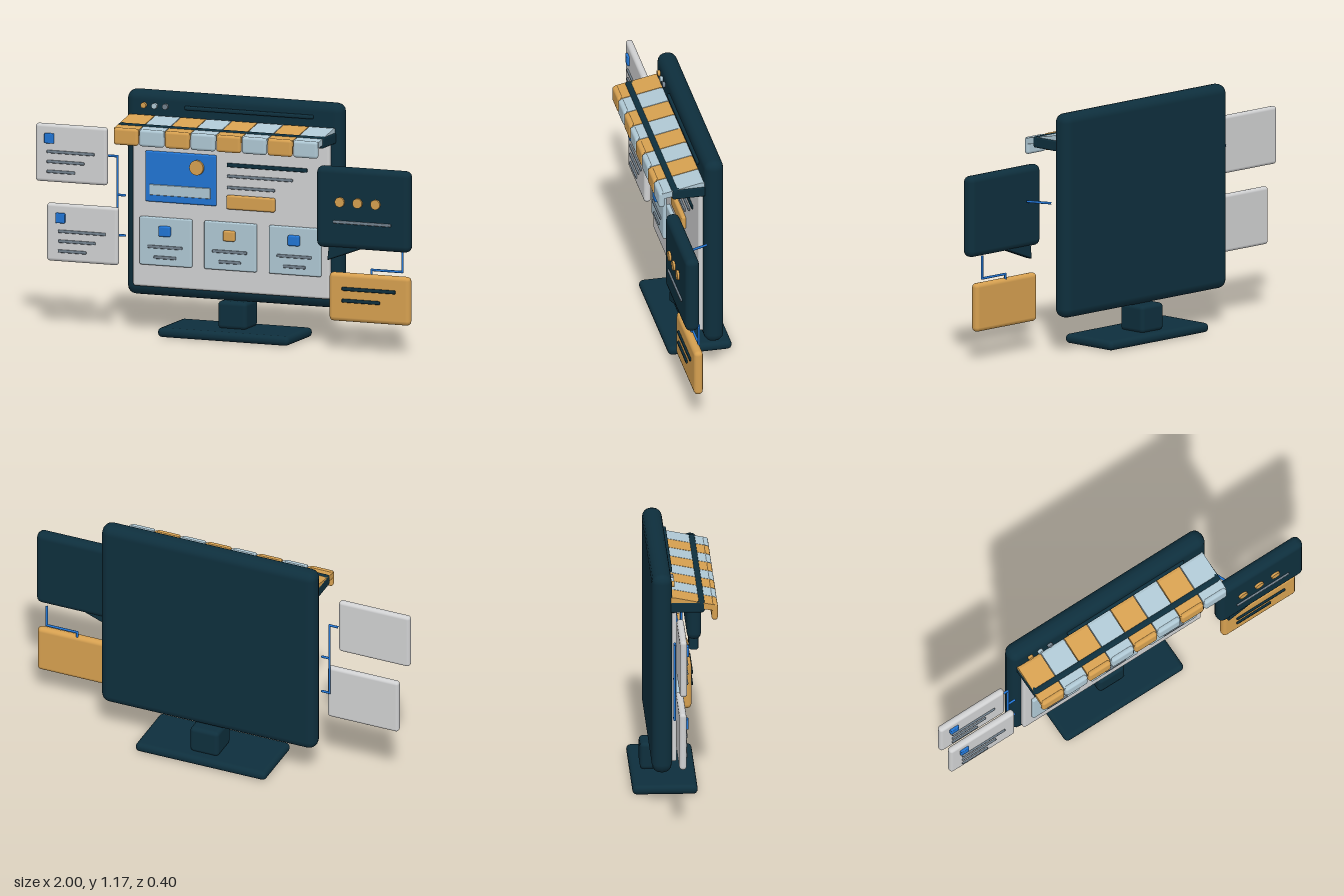
import * as THREE from 'three';
import { RoundedBoxGeometry } from 'three/addons/geometries/RoundedBoxGeometry.js';

const mat = (name, color) => {
  const m = new THREE.MeshStandardMaterial({ color });
  m.name = name;
  return m;
};

export function createModel() {
  const root = new THREE.Group();
  root.name = 'onlineStoreMonitor';
  const navy = mat('navy', 0x0e2f3d);
  const orange = mat('orange', 0xd6a050);
  const blue = mat('blue', 0x2175d4);
  const paleBlue = mat('pale blue', 0xafc8d4);
  const white = mat('off white', 0xd0d1d2);
  const slate = mat('slate', 0x72818d);

  const add = (parent, name, geo, material) => {
    const m = new THREE.Mesh(geo, material);
    m.name = name;
    parent.add(m);
    return m;
  };
  const group = (name) => {
    const g = new THREE.Group();
    g.name = name;
    root.add(g);
    return g;
  };
  // rounded block given by its extents
  const block = (parent, name, material, [x0, x1], [y0, y1], [z0, z1], r = 0.01) => {
    const w = x1 - x0, h = y1 - y0, d = z1 - z0;
    const geo = new RoundedBoxGeometry(w, h, d, 2, Math.min(r, w / 2.05, h / 2.05, d / 2.05));
    const m = add(parent, name, geo, material);
    m.position.set((x0 + x1) / 2, (y0 + y1) / 2, (z0 + z1) / 2);
    return m;
  };
  // bar of text
  const line = (parent, material, x0, x1, y, z, h = 0.015) =>
    block(parent, 'textLine', material, [x0, x1], [y - h / 2, y + h / 2], [z, z + 0.01], 0.005);
  // flat round button facing forward
  const disc = (parent, name, material, r, x, y, z, depth) => {
    const geo = new THREE.CylinderGeometry(r, r, depth, 20).rotateX(Math.PI / 2);
    add(parent, name, geo, material).position.set(x, y, z + depth / 2);
  };
  // angular wire through a list of points
  const wire = (parent, name, pts) => {
    const path = new THREE.CurvePath();
    const v = pts.map((p) => new THREE.Vector3(...p));
    for (let i = 1; i < v.length; i++) {
      path.add(new THREE.LineCurve3(v[i - 1], v[i]));
      add(parent, name, new THREE.TubeGeometry(path.curves[i - 1], 1, 0.006, 8), blue);
      add(parent, name + 'Joint', new THREE.SphereGeometry(0.006, 8, 6), blue).position.copy(v[i]);
    }
  };

  // monitor and stand
  const monitor = group('monitor');
  block(monitor, 'casing', navy, [-0.553, 0.567], [0.173, 1.167], [-0.116, -0.02], 0.044);
  block(monitor, 'screen', white, [-0.505, 0.515], [0.222, 1.04], [-0.03, 0.004], 0.012);
  block(monitor, 'neck', navy, [-0.068, 0.082], [0.042, 0.176], [-0.152, 0], 0.02);
  block(monitor, 'base', navy, [-0.334, 0.347], [0, 0.046], [-0.2, 0.113], 0.022);

  // browser bar
  [orange, paleBlue, slate].forEach((m, i) =>
    disc(monitor, 'windowButton', m, 0.014, -0.454 + i * 0.056, 1.098, -0.022, 0.016));
  block(monitor, 'addressBar', navy, [-0.243, 0.425], [1.088, 1.108], [-0.025, -0.006], 0.008);

  // banner on the page
  const page = group('pageContent');
  block(page, 'banner', blue, [-0.435, -0.067], [0.638, 0.884], [0, 0.018], 0.008);
  block(page, 'bannerStrip', paleBlue, [-0.41, -0.093], [0.672, 0.724], [0.015, 0.025], 0.004);
  disc(page, 'bannerSun', orange, 0.036, -0.163, 0.82, 0.014, 0.018);
  line(page, navy, -0.013, 0.403, 0.841, 0.003, 0.02);
  line(page, slate, -0.013, 0.328, 0.787, 0.003);
  line(page, slate, -0.013, 0.235, 0.732, 0.003);
  block(page, 'button', orange, [-0.013, 0.238], [0.628, 0.697], [0, 0.025], 0.01);

  // three product tiles
  [blue, orange, blue].forEach((m, i) => {
    const x = -0.328 + i * 0.335;
    block(page, 'tile', paleBlue, [x - 0.135, x + 0.135], [0.331, 0.565], [0, 0.022], 0.008);
    block(page, 'tileIcon', m, [x - 0.03, x + 0.03], [0.475, 0.526], [0.016, 0.04], 0.008);
    line(page, slate, x - 0.09, x + 0.09, 0.422, 0.019);
    line(page, slate, x - 0.058, x + 0.058, 0.372, 0.019);
  });

  // striped awning with hanging flaps
  const awning = group('awning');
  const x0 = -0.527, pitch = 0.133;
  const profile = new THREE.Shape();
  profile.moveTo(-0.025, 1.05);
  profile.lineTo(-0.008, 1.052);
  profile.lineTo(0.1, 1.03);
  profile.lineTo(0.185, 1.014);
  profile.lineTo(0.185, 0.985);
  profile.lineTo(0.1, 0.998);
  profile.lineTo(-0.025, 1.02);
  for (let i = 0; i < 8; i++) {
    const m = i % 2 ? paleBlue : orange;
    const a = x0 + i * pitch;
    const geo = new THREE.ExtrudeGeometry(profile, { depth: pitch - 0.004, bevelEnabled: false });
    geo.rotateY(-Math.PI / 2);
    geo.translate(a + pitch - 0.002, 0, 0);
    add(awning, 'awningStripe', geo, m);
    block(awning, 'awningFlap', m, [a + 0.003, a + pitch - 0.003], [0.935, 1.018], [0.17, 0.2], 0.014);
  }
  block(awning, 'awningBar', navy, [x0 - 0.002, x0 + 8 * pitch + 0.004], [0.975, 1.031], [0.1, 0.14], 0.018);
  for (const x of [x0, x0 + 8 * pitch - 0.022])
    block(awning, 'awningArm', navy, [x, x + 0.024], [0.975, 1.03], [-0.03, 0.135], 0.01);

  // two note cards on the right-hand side of the customer
  for (const [dx, dy] of [[0, 0], [0.058, -0.383]]) {
    const card = group('noteCard');
    block(card, 'cardBody', white, [-1, -0.63], [0.701, 0.982], [-0.004, 0.031], 0.016);
    block(card, 'cardIcon', blue, [-0.948, -0.9], [0.889, 0.938], [0.025, 0.043], 0.005);
    [-0.69, -0.742, -0.79].forEach((x, i) => line(card, slate, -0.937, x, 0.849 - i * 0.048, 0.029));
    card.position.set(dx, dy, 0);
  }

  // speech bubble
  const bubble = group('speechBubble');
  block(bubble, 'bubbleBody', navy, [0.512, 0.996], [0.502, 0.896], [0.1, 0.168], 0.03);
  const tail = new THREE.Shape();
  tail.moveTo(0.585, 0.53);
  tail.lineTo(0.575, 0.45);
  tail.lineTo(0.73, 0.51);
  tail.lineTo(0.73, 0.53);
  add(bubble, 'bubbleTail', new THREE.ExtrudeGeometry(tail, {
    depth: 0.03, bevelSize: 0.009, bevelThickness: 0.009, bevelSegments: 2,
  }), navy).position.z = 0.119;
  for (const x of [0.641, 0.733, 0.826]) disc(bubble, 'bubbleDot', orange, 0.024, x, 0.73, 0.16, 0.019);
  line(bubble, slate, 0.606, 0.905, 0.633, 0.166);

  // reply card
  const reply = group('replyCard');
  block(reply, 'replyBody', orange, [0.561, 0.98], [0.142, 0.378], [0.079, 0.124], 0.021);
  line(reply, navy, 0.633, 0.911, 0.303, 0.124, 0.018);
  line(reply, navy, 0.633, 0.83, 0.246, 0.124, 0.018);

  // connecting wires
  const wires = group('wires');
  const z = -0.01;
  wire(wires, 'cardWire', [[-0.635, 0.842, z], [-0.588, 0.842, z], [-0.588, 0.655, z], [-0.55, 0.655, z]]);
  wire(wires, 'cardWire', [[-0.588, 0.655, z], [-0.588, 0.46, z], [-0.55, 0.46, z]]);
  wire(wires, 'replyWire', [[0.932, 0.51, 0.092], [0.932, 0.398, 0.092], [0.772, 0.398, 0.092], [0.772, 0.37, 0.092]]);
  wire(wires, 'bubbleWire', [[0.575, 0.73, -0.025], [0.622, 0.73, 0.09]]);

  return root;
}
